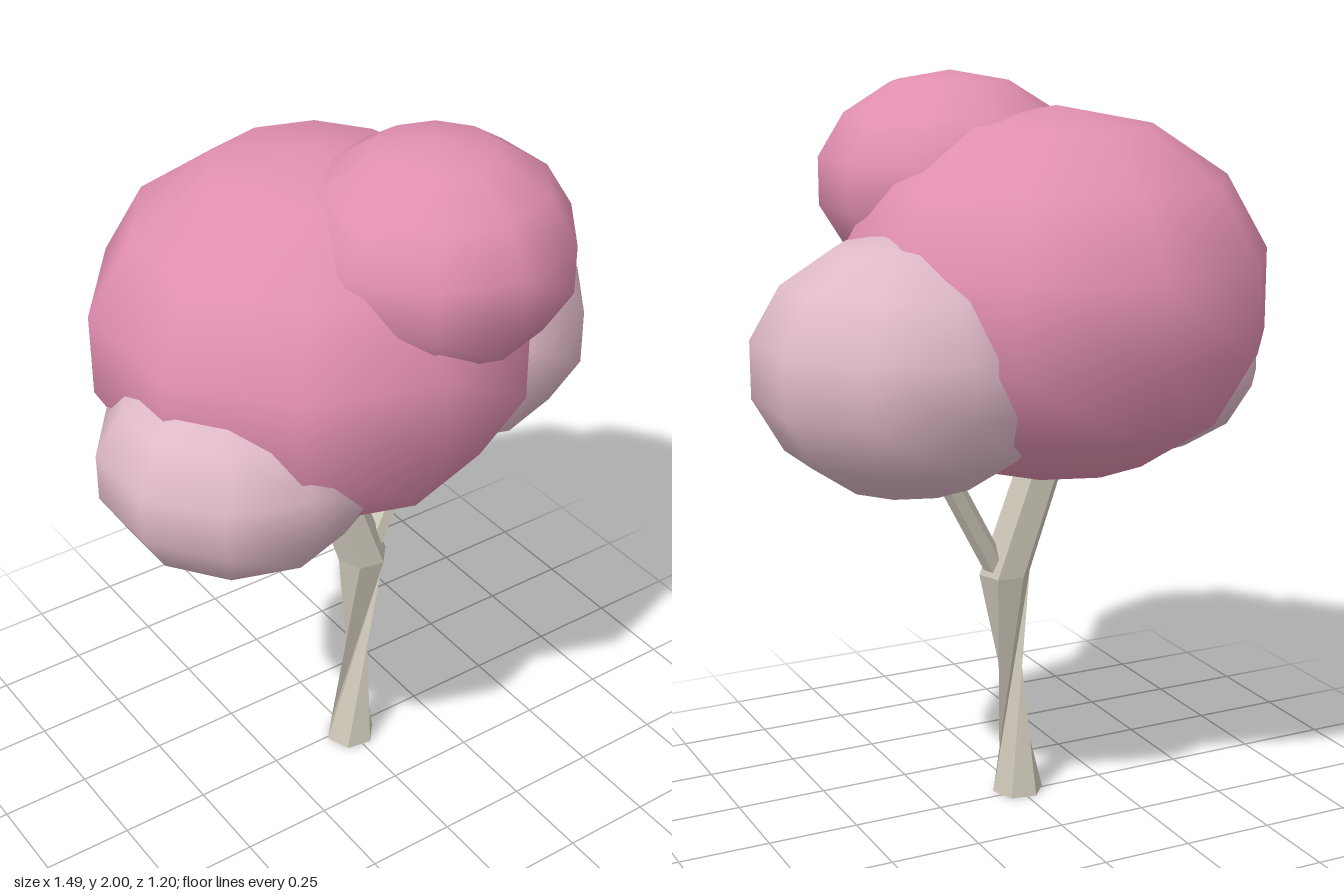
import * as THREE from 'three';

const SIDES = 6;

// Faceted six-sided limb through rings of { p: [x, y, z], r, turn }
function limb(rings) {
  const pos = [];
  const corner = (k, i) => {
    const { p, r, turn = 0 } = rings[k];
    const a = ((20 + turn + (i * 360) / SIDES) * Math.PI) / 180;
    return [p[0] + r * Math.sin(a), p[1], p[2] + r * Math.cos(a)];
  };
  const tri = (...corners) => corners.forEach((c) => pos.push(...c));
  const last = rings.length - 1;
  for (let i = 0; i < SIDES; i++) {
    for (let k = 0; k < last; k++) {
      const a0 = corner(k, i), a1 = corner(k, i + 1);
      const b0 = corner(k + 1, i), b1 = corner(k + 1, i + 1);
      tri(a0, a1, b1);
      tri(a0, b1, b0);
    }
    // End caps
    tri(rings[0].p, corner(0, i + 1), corner(0, i));
    tri(rings[last].p, corner(last, i), corner(last, i + 1));
  }
  const geo = new THREE.BufferGeometry();
  geo.setAttribute('position', new THREE.Float32BufferAttribute(pos, 3));
  geo.computeVertexNormals();
  return geo;
}

// Smooth-shaded low-poly leaf ball, flattened in height
function leafBall(r, height) {
  const geo = new THREE.SphereGeometry(r, 10, 7);
  geo.rotateY(Math.PI / 2);
  geo.scale(1, height / r, 1);
  return geo;
}

export function createModel() {
  const tree = new THREE.Group();
  tree.name = 'tree';

  const material = (name, color) => {
    const m = new THREE.MeshStandardMaterial({ color });
    m.name = name;
    return m;
  };
  const bark = material('bark', 0xcdc7b8);
  const pink = material('pinkLeaves', 0xe28fb1);
  const palePink = material('palePinkLeaves', 0xdfb9c8);

  const add = (name, geo, mat, at = [0, 0, 0]) => {
    const mesh = new THREE.Mesh(geo, mat);
    mesh.name = name;
    mesh.position.set(...at);
    tree.add(mesh);
  };

  // Twisted lower trunk, leaning upper trunk and thin side branch
  add('lowerTrunk', limb([
    { p: [0, 0, 0.02], r: 0.072 },
    { p: [0.04, 0.65, 0.02], r: 0.072, turn: 120 },
  ]), bark);
  add('upperTrunk', limb([
    { p: [0.04, 0.65, 0.02], r: 0.072 },
    { p: [-0.095, 1.1, -0.03], r: 0.065 },
  ]), bark);
  add('sideBranch', limb([
    { p: [0.065, 0.66, 0.015], r: 0.035 },
    { p: [0.305, 1.1, -0.02], r: 0.035 },
  ]), bark);

  // Foliage: name, radius, half height, material, centre
  [
    ['mainFoliage', 0.59, 0.495, pink, [-0.09, 1.425, -0.027]],
    ['topFoliage', 0.366, 0.29, pink, [0.09, 1.71, 0.243]],
    ['leftFoliage', 0.41, 0.343, palePink, [0.36, 1.282, -0.073]],
    ['rightFoliage', 0.365, 0.285, palePink, [-0.41, 1.213, 0.11]],
  ].forEach(([name, r, h, mat, at]) => add(name, leafBall(r, h), mat, at));

  return tree;
}
